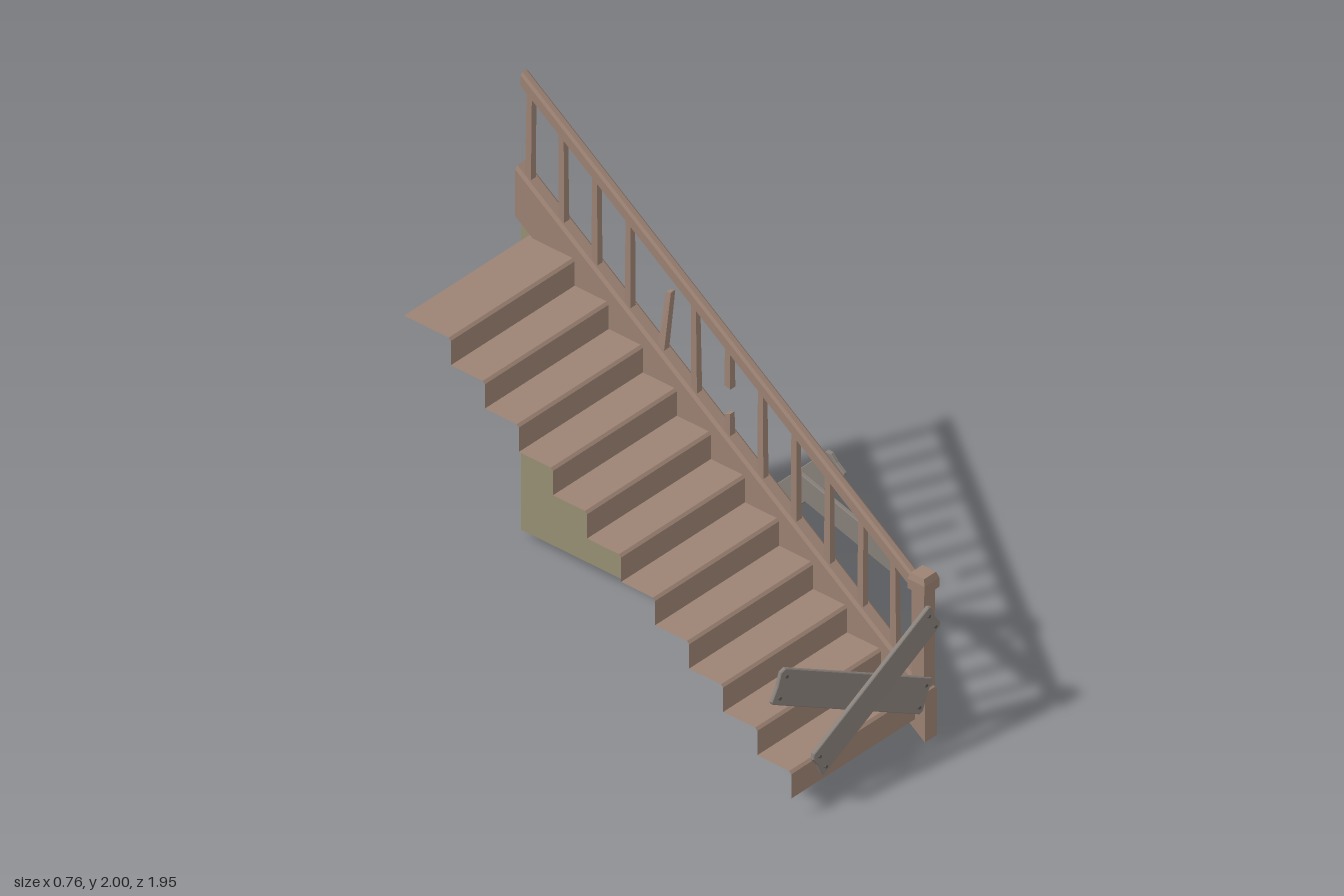
import * as THREE from 'three';

const SLOPE = 0.722;      // rise per unit of run
const RAIL_X = 0.323;     // centre plane of the balustrade
const stringerTop = z => 0.892 - SLOPE * z;
const railBottom = z => 1.248 - SLOPE * z;

const wood = new THREE.MeshStandardMaterial({ color: 0x9c8273, flatShading: true });
const stairWood = new THREE.MeshStandardMaterial({ color: 0x9c8273, flatShading: true, side: THREE.DoubleSide });
const plankWood = new THREE.MeshStandardMaterial({ color: 0x88807a, flatShading: true });
const nailMetal = new THREE.MeshStandardMaterial({ color: 0x5a5652, flatShading: true });
const panelPaint = new THREE.MeshStandardMaterial({ color: 0x969072, side: THREE.DoubleSide });

const polygon = pts => new THREE.Shape(pts.map(p => new THREE.Vector2(...p)));

function add(parent, name, geometry, material, x = 0, y = 0, z = 0) {
  const mesh = new THREE.Mesh(geometry, material);
  mesh.name = name;
  mesh.position.set(x, y, z);
  parent.add(mesh);
  return mesh;
}

// Bar with vertical ends that follows the pitch of the stairs; top edges are chamfered
function slopedBar(halfWidth, bottom, top, chamfer, zFront, zBack) {
  const h = halfWidth, c = chamfer;
  const shape = polygon([[-h, bottom], [h, bottom], [h, top - c], [h - c, top], [c - h, top], [-h, top - c]]);
  const geo = new THREE.ExtrudeGeometry(shape, { depth: zFront - zBack, bevelEnabled: false });
  geo.translate(0, 0, zBack);
  const p = geo.attributes.position;
  for (let i = 0; i < p.count; i++) p.setY(i, p.getY(i) - SLOPE * p.getZ(i));
  geo.computeVertexNormals();
  return geo;
}

// Open folded sheet of risers and treads with chamfered nosings
function stepsGeometry(x0, x1) {
  const rise = 0.1136, run = 0.16, c = 0.01, steps = 11;
  const profile = [[0.9, 0.08]];
  for (let i = 0; i < steps; i++) {
    const z = 0.9 - run * i, top = 0.08 + rise * (i + 1);
    const back = i === steps - 1 ? -0.92 : z - run;
    profile.push([z, top - c], [z - c, top], [back, top]);
  }
  const pos = [];
  for (let i = 0; i + 1 < profile.length; i++) {
    const [za, ya] = profile[i], [zb, yb] = profile[i + 1];
    pos.push(x0, ya, za, x1, ya, za, x1, yb, zb, x0, ya, za, x1, yb, zb, x0, yb, zb);
  }
  const geo = new THREE.BufferGeometry();
  geo.setAttribute('position', new THREE.Float32BufferAttribute(pos, 3));
  geo.computeVertexNormals();
  return geo;
}

// Square baluster between two heights; ends follow the given slopes, top may lean sideways
function baluster(parent, name, z, y0, y1, slope0, slope1, leanX = 0, leanZ = 0) {
  const geo = new THREE.BoxGeometry(0.028, 1, 0.028);
  const p = geo.attributes.position;
  for (let i = 0; i < p.count; i++) {
    const upper = p.getY(i) > 0;
    const dz = p.getZ(i);
    p.setY(i, upper ? y1 - slope1 * dz : y0 - slope0 * dz);
    if (upper) p.setXYZ(i, p.getX(i) * 0.85 + leanX, p.getY(i), dz * 0.85 + leanZ);
  }
  geo.computeVertexNormals();
  add(parent, name, geo, wood, RAIL_X, 0, z);
}

// Rough plank between two end points, facing roughly along `facing`
function plank(parent, name, from, to, width, facing, nails) {
  const a = new THREE.Vector3(...from), b = new THREE.Vector3(...to);
  const along = b.clone().sub(a), len = along.length(), l = len / 2, w = width / 2;
  along.normalize();
  const side = new THREE.Vector3(...facing).cross(along).normalize();
  const out = along.clone().cross(side);
  const group = new THREE.Group();
  group.name = name;
  group.applyMatrix4(new THREE.Matrix4().makeBasis(along, side, out));
  group.position.copy(a).add(b).multiplyScalar(0.5);
  const shape = polygon([
    [-l + 0.008, -w], [l - 0.012, -w], [l, -w + 0.015], [l - 0.005, 0], [l, w - 0.008],
    [l - 0.008, w], [-l + 0.015, w], [-l, w - 0.018], [-l + 0.005, 0], [-l, -w + 0.008],
  ]);
  const geo = new THREE.ExtrudeGeometry(shape, {
    depth: 0.012, bevelSize: 0.003, bevelOffset: -0.003, bevelThickness: 0.003, bevelSegments: 1,
  });
  geo.translate(0, 0, -0.006);
  add(group, name + 'Board', geo, plankWood);
  if (nails) {
    for (const sx of [-1, 1]) for (const sy of [-1, 1]) {
      const nail = add(group, 'nail', new THREE.CylinderGeometry(0.007, 0.009, 0.032, 6), nailMetal,
        sx * (l - 0.028), sy * (w - 0.028), 0);
      nail.rotation.x = Math.PI / 2;
    }
  }
  parent.add(group);
}

export function createModel() {
  const model = new THREE.Group();
  model.name = 'boardedStaircase';

  add(model, 'steps', stepsGeometry(-0.375, 0.3), stairWood);
  add(model, 'stringer', slopedBar(0.033, 0.682, 0.892, 0.012, 0.945, -0.98), wood, RAIL_X);

  // Thin wall closing the space under the stringer
  const wall = new THREE.ShapeGeometry(polygon([[0.825, 0.03], [0.825, 0.1], [-0.98, 1.4], [-0.98, 0.03]]));
  wall.rotateY(-Math.PI / 2);
  add(model, 'sidePanel', wall, panelPaint, RAIL_X);

  // Balustrade
  const rail = new THREE.Group();
  rail.name = 'balustrade';
  model.add(rail);
  add(rail, 'handrail', slopedBar(0.02, 1.248, 1.303, 0.01, 0.9, -0.965), wood, RAIL_X);
  for (let i = 0; i < 12; i++) {
    const z = 0.78 - 0.156 * i;
    const low = stringerTop(z) - 0.01, high = railBottom(z) + 0.01;
    if (i === 5) {
      // Snapped through the middle
      baluster(rail, 'brokenBalusterLower', z, low, 0.97, SLOPE, -0.3);
      baluster(rail, 'brokenBalusterUpper', z, 1.085, high, 0.3, SLOPE);
    } else if (i === 7) {
      // Loose from the rail, leaning outward
      baluster(rail, 'looseBaluster', z, low, 1.335, SLOPE, -0.3, 0.034, 0.004);
    } else {
      baluster(rail, 'baluster', z, low, high, SLOPE, SLOPE, 0.003 * ((i % 3) - 1), 0.004 * ((i % 2) - 0.5));
    }
  }

  // Newel post with a chamfered cap
  const newel = new THREE.Group();
  newel.name = 'newelPost';
  newel.position.set(RAIL_X, 0, 0.909);
  model.add(newel);
  add(newel, 'newelShaft', new THREE.BoxGeometry(0.058, 0.45, 0.058), wood, 0, 0.41, 0);
  add(newel, 'newelCap', new THREE.BoxGeometry(0.08, 0.04, 0.08), wood, 0, 0.65, 0);
  const capTop = add(newel, 'newelCapTop',
    new THREE.CylinderGeometry(0.032 * Math.SQRT2, 0.04 * Math.SQRT2, 0.025, 4), wood, 0, 0.6825, 0);
  capTop.rotation.y = Math.PI / 4;

  // Planks nailed across the entrance and over the damaged balustrade
  plank(model, 'frontPlankOuter', [-0.278, 0.183, 0.93], [0.336, 0.528, 0.95], 0.125, [0, 0, 1], true);
  plank(model, 'frontPlankInner', [-0.352, 0.508, 0.805], [0.302, 0.193, 0.942], 0.14, [0, 0, 1], true);
  plank(model, 'sidePlankOuter', [0.371, 0.945, 0.468], [0.371, 0.528, 0.07], 0.11, [1, 0, 0], false);
  plank(model, 'sidePlankInner', [0.355, 0.642, 0.782], [0.352, 0.797, 0.275], 0.1, [1, 0, 0], false);

  return model;
}
